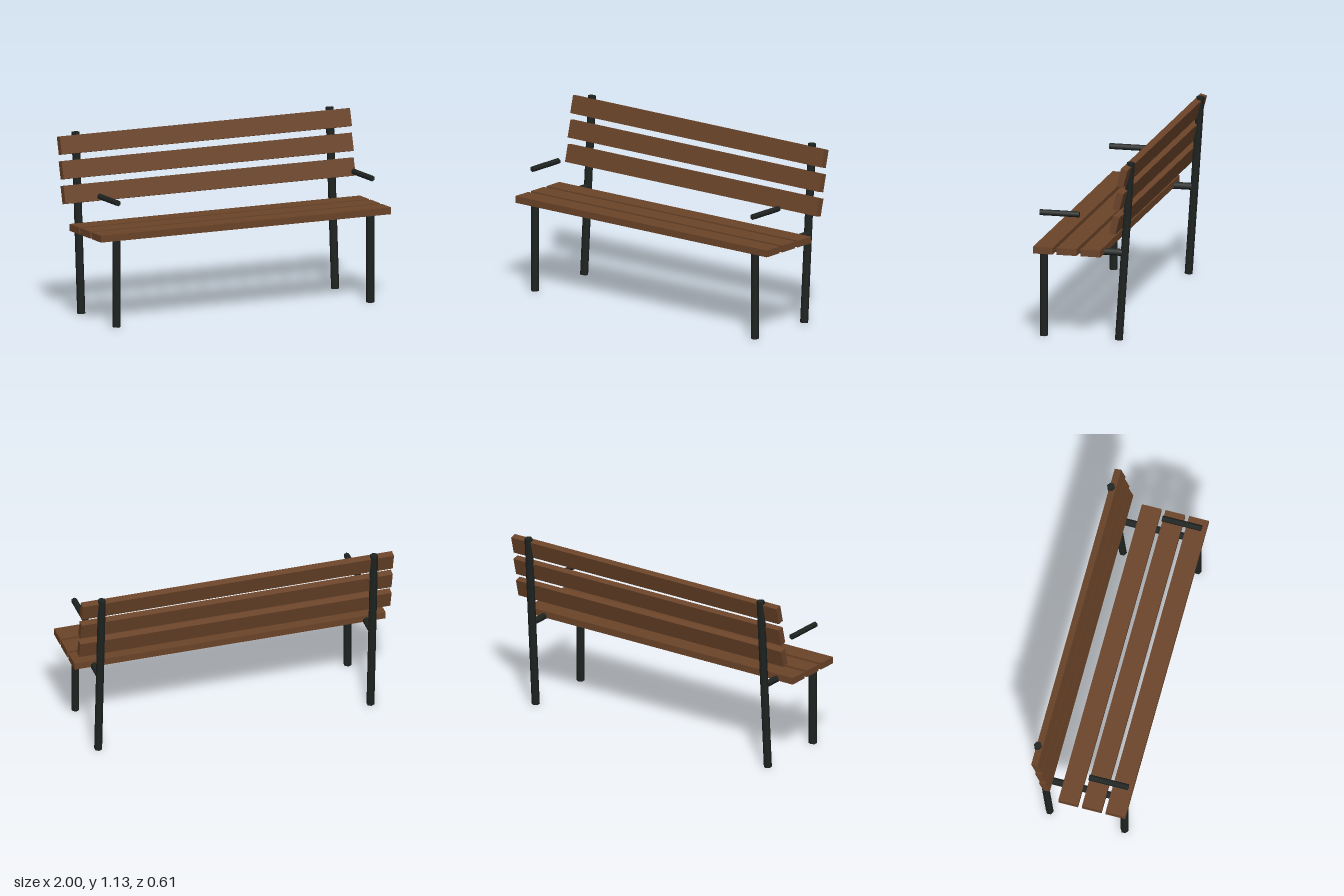
import * as THREE from 'three';

const wood = new THREE.MeshStandardMaterial({ color: 0x6b4429 });
const metal = new THREE.MeshStandardMaterial({ color: 0x1f2421 });

// Six-sided tube running between two points of a side frame: [y, z] to [y, z]
function tube(name, radius, [y0, z0], [y1, z1]) {
  const length = Math.hypot(y1 - y0, z1 - z0);
  const mesh = new THREE.Mesh(new THREE.CylinderGeometry(radius, radius, length, 6), metal);
  mesh.name = name;
  mesh.position.set(0, (y0 + y1) / 2, (z0 + z1) / 2);
  mesh.rotation.x = Math.atan2(z1 - z0, y1 - y0);
  return mesh;
}

// Full-width plank
function slat(name, height, depth, y, z, tilt = 0) {
  const mesh = new THREE.Mesh(new THREE.BoxGeometry(2, height, depth), wood);
  mesh.name = name;
  mesh.position.set(0, y, z);
  mesh.rotation.x = tilt;
  return mesh;
}

export function createModel() {
  const bench = new THREE.Group();
  bench.name = 'bench';

  // Seat and backrest planks, three each
  for (let i = 0; i < 3; i++) {
    bench.add(slat('seatSlat', 0.043, 0.125, 0.567, 0.245 - i * 0.15));
    bench.add(slat('backSlat', 0.112, 0.042, 0.754 + i * 0.15, -0.206 - i * 0.025, -0.25));
  }

  // Mirrored side frames
  for (const side of [1, -1]) {
    const frame = new THREE.Group();
    frame.name = side > 0 ? 'leftFrame' : 'rightFrame';
    frame.position.x = side * 0.875;
    frame.add(
      tube('frontLeg', 0.025, [0, 0.27], [0.55, 0.27]),
      tube('rearPost', 0.025, [0.002, -0.205], [1.126, -0.281]),
      tube('seatRail', 0.0225, [0.554, 0.27], [0.554, -0.24]),
      tube('armrest', 0.019, [0.778, 0.295], [0.778, 0.045])
    );
    bench.add(frame);
  }
  return bench;
}
